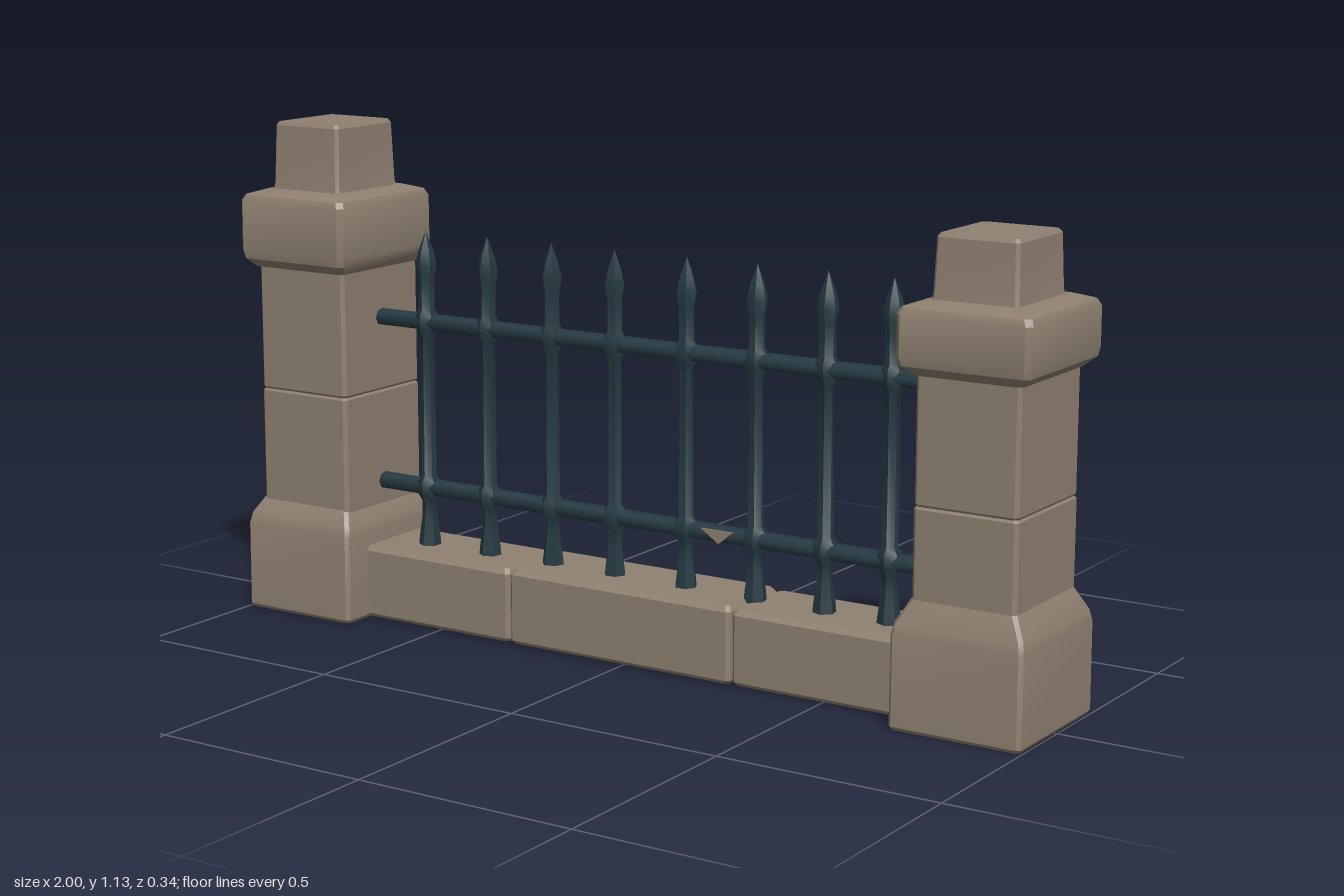
import * as THREE from 'three';
import { toCreasedNormals } from 'three/addons/utils/BufferGeometryUtils.js';

// Stack of chamfered rectangles; each section is [y, halfX, halfZ]
function loft(sections, chamfer) {
  const pos = [], index = [], n = 8;
  for (const [y, hx, hz] of sections) {
    const a = hx - chamfer, b = hz - chamfer;
    const ring = [[hx, b], [hx, -b], [a, -hz], [-a, -hz], [-hx, -b], [-hx, b], [-a, hz], [a, hz]];
    for (const [x, z] of ring) pos.push(x, y, z);
  }
  const top = (sections.length - 1) * n;
  for (let i = 0; i < top; i += n) {
    for (let j = 0; j < n; j++) {
      const k = (j + 1) % n;
      index.push(i + j, i + k, i + n + k, i + j, i + n + k, i + n + j);
    }
  }
  for (let j = 1; j < n - 1; j++) index.push(0, j + 1, j, top, top + j, top + j + 1);
  const g = new THREE.BufferGeometry();
  g.setAttribute('position', new THREE.Float32BufferAttribute(pos, 3));
  g.setIndex(index);
  return toCreasedNormals(g, 0.5);
}

export function createModel() {
  const model = new THREE.Group();
  model.name = 'stoneFence';
  const stone = new THREE.MeshStandardMaterial({ color: 0x8f8071 });
  const iron = new THREE.MeshStandardMaterial({ color: 0x263a42 });

  function add(parent, name, geometry, material, x = 0, y = 0, z = 0) {
    const mesh = new THREE.Mesh(geometry, material);
    mesh.name = name;
    mesh.position.set(x, y, z);
    parent.add(mesh);
    return mesh;
  }

  // Pillars: base, two shaft blocks, overhanging cap and tapered top block
  function pillar(name, x, shaftX, p) {
    const g = new THREE.Group();
    g.name = name;
    model.add(g);
    const { bevel, seam, neck, cap, top, half, topX } = p;
    add(g, 'pillarBase', loft([[0, 0.144, 0.162], [0.008, 0.149, 0.168], [0.2, 0.149, 0.166],
      [0.225, 0.144, 0.16], [bevel, half, 0.137]], 0.008), stone, x);
    add(g, 'lowerShaft', loft([[bevel - 0.02, half, 0.138], [seam - 0.005, half, 0.138],
      [seam, half - 0.004, 0.134]], 0.008), stone, shaftX);
    add(g, 'upperShaft', loft([[seam, half - 0.004, 0.133], [seam + 0.005, half - 0.001, 0.137],
      [neck + 0.01, half - 0.001, 0.137]], 0.008), stone, shaftX);
    add(g, 'pillarCap', loft([[neck - 0.005, half + 0.005, 0.143], [neck + 0.015, 0.145, 0.164],
      [neck + 0.035, 0.149, 0.168], [cap - 0.018, 0.149, 0.167], [cap - 0.004, 0.142, 0.16],
      [cap + 0.008, 0.105, 0.122]], 0.012), stone, x);
    add(g, 'topBlock', loft([[cap - 0.01, 0.099, 0.112], [cap + 0.02, 0.094, 0.107],
      [top - 0.008, 0.091, 0.101], [top, 0.086, 0.096]], 0.007), stone, topX);
  }
  pillar('rightPillar', -0.851, -0.847,
    { bevel: 0.26, seam: 0.52, neck: 0.81, cap: 0.975, top: 1.135, half: 0.124, topX: -0.852 });
  pillar('leftPillar', 0.849, 0.85,
    { bevel: 0.275, seam: 0.465, neck: 0.738, cap: 0.875, top: 1.015, half: 0.117, topX: 0.845 });

  // Low wall of three blocks
  const wall = new THREE.Group();
  wall.name = 'lowWall';
  model.add(wall);
  for (const [x0, x1, h, d] of [[-0.74, -0.302, 0.172, 0.102], [-0.298, 0.278, 0.175, 0.104], [0.282, 0.74, 0.171, 0.101]]) {
    const w = (x1 - x0) / 2;
    add(wall, 'wallBlock', loft([[0.004, w - 0.006, d - 0.006], [0.012, w, d], [h - 0.012, w, d],
      [h, w - 0.008, d - 0.01]], 0.008), stone, (x0 + x1) / 2, 0, -0.007);
  }

  // Horizontal rails
  for (const [y, tilt] of [[0.692, 0.002], [0.305, -0.002]]) {
    const rail = add(model, 'rail', toCreasedNormals(new THREE.CylinderGeometry(0.02, 0.02, 1.47, 7), 0.9), iron, 0.005, y, 0);
    rail.rotation.z = Math.PI / 2 + tilt;
  }
  // Small chipped stone fleck on the lower rail
  const chip = new THREE.Shape([[-0.04, 0.012], [0.004, -0.017], [0.04, 0.012]].map(p => new THREE.Vector2(...p)));
  add(model, 'railChip', new THREE.ExtrudeGeometry(chip, { depth: 0.005, bevelEnabled: false }), stone, 0.2, 0.305, 0.018);

  // Upright bars with flared foot, collars and spear tip
  const profile = [[0.001, 0.165], [0.026, 0.168], [0.024, 0.19], [0.017, 0.24], [0.017, 0.275],
    [0.027, 0.292], [0.027, 0.32], [0.017, 0.335], [0.016, 0.66], [0.026, 0.678], [0.026, 0.706],
    [0.018, 0.722], [0.018, 0.79], [0.024, 0.823], [0.017, 0.855], [0.0, 0.9]]
    .map(p => new THREE.Vector2(...p));
  const barGeometry = toCreasedNormals(new THREE.LatheGeometry(profile, 6), 0.7);
  [-0.592, -0.42, -0.245, -0.078, 0.108, 0.284, 0.455, 0.61].forEach((x, i) => {
    const bar = add(model, 'spearBar', barGeometry, iron, x, 0, 0);
    bar.rotation.y = i * 0.9;
  });
  return model;
}
